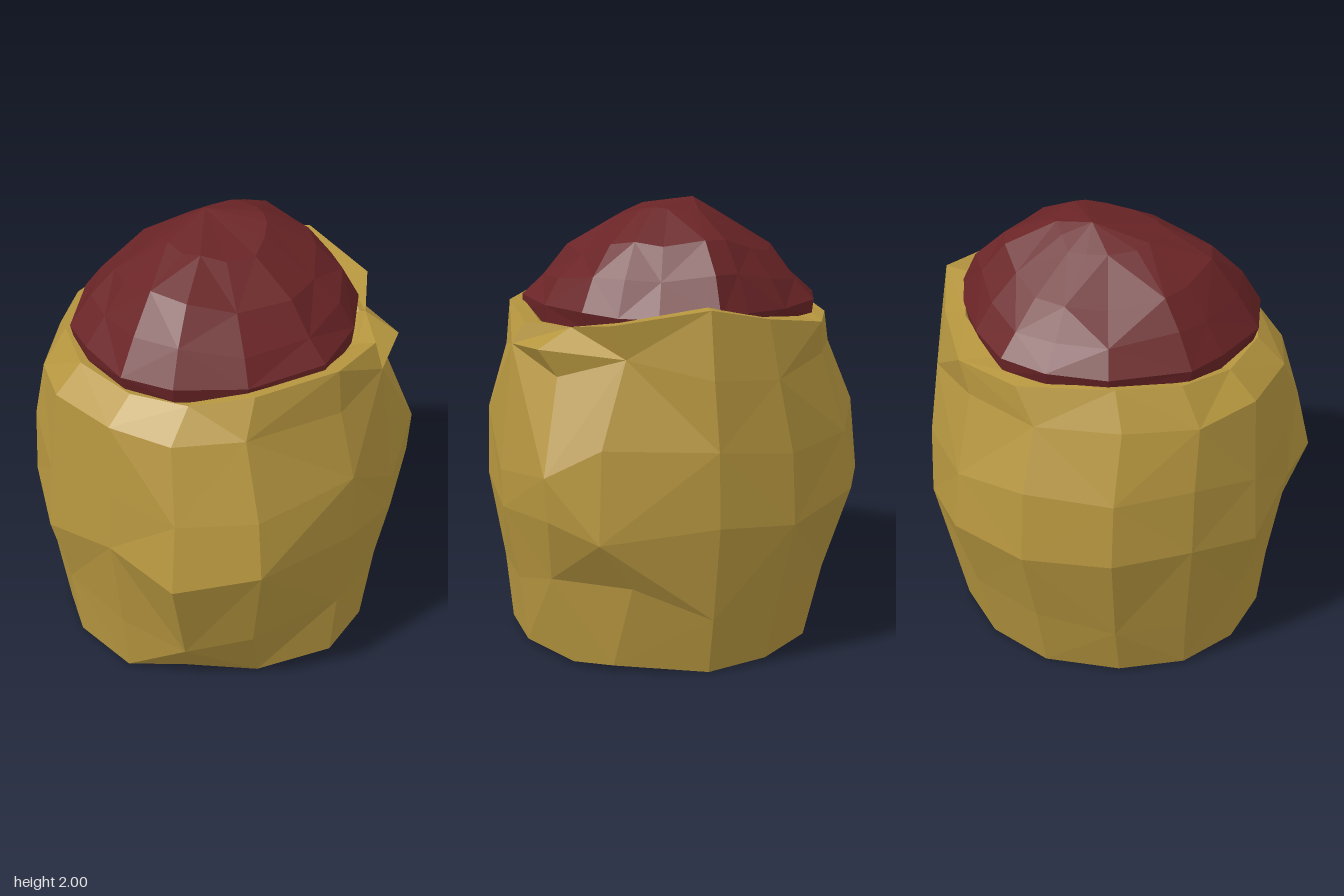
import * as THREE from 'three';

// Small seeded generator, for hand-made unevenness
function seeded(seed) {
  let s = seed;
  return () => {
    s = (s * 16807) % 2147483647;
    return s / 2147483647 - 0.5;
  };
}

// Joins rings of points (listed bottom to top, clockwise from above) into flat facets
function skin(rings, bottom, top) {
  const pos = [];
  const tri = (a, b, c) => pos.push(...a, ...b, ...c);
  const n = rings[0].length;
  for (let k = 0; k < rings.length - 1; k++) {
    const lo = rings[k], hi = rings[k + 1];
    for (let i = 0; i < n; i++) {
      const j = (i + 1) % n;
      if ((i + k) % 2) {
        tri(lo[j], lo[i], hi[i]);
        tri(lo[j], hi[i], hi[j]);
      } else {
        tri(lo[j], lo[i], hi[j]);
        tri(lo[i], hi[i], hi[j]);
      }
    }
  }
  const first = rings[0], last = rings[rings.length - 1];
  for (let i = 0; i < n; i++) {
    const j = (i + 1) % n;
    tri(first[i], first[j], bottom);
    tri(last[j], last[i], top);
  }
  return facets(pos);
}

function facets(pos) {
  const g = new THREE.BufferGeometry();
  g.setAttribute('position', new THREE.Float32BufferAttribute(pos, 3));
  g.computeVertexNormals();
  return g;
}

function addPart(group, name, geometry, material) {
  const mesh = new THREE.Mesh(geometry, material);
  mesh.name = name;
  group.add(mesh);
}

// Widest outline of the sack, from the back round by +x, as [x, z]
const SACK = [
  [0, -0.85], [0.37, -0.78], [0.65, -0.5], [0.8, -0.17], [0.83, 0.34], [0.73, 0.56], [0.38, 0.76],
  [0.03, 0.84], [-0.51, 0.82], [-0.8, 0.57], [-0.82, 0.2], [-0.83, -0.2], [-0.65, -0.5], [-0.39, -0.76],
];
const RIM_Y = [1.51, 1.52, 1.57, 1.64, 1.57, 1.5, 1.51, 1.54, 1.53, 1.48, 1.47, 1.48, 1.5, 1.52];

// One sack ring: the outline fitted to extents and rounded off by the amount "round"
function sackRing(minX, maxX, minZ, maxZ, round, heightAt) {
  return SACK.map(([x, z], i) => {
    let u = x / 0.83, v = z / 0.845;
    const len = Math.hypot(u, v), k = 1 + (1 / len - 1) * round;
    u *= k;
    v *= k;
    return [u * (u < 0 ? -minX : maxX), heightAt(i), v * (v < 0 ? -minZ : maxZ)];
  });
}

function sackGeometry() {
  const rnd = seeded(11);
  const rough = (y, amount) => () => y + rnd() * amount;
  const rings = [
    sackRing(-0.73, 0.7, -0.65, 0.75, 0.8, rough(0.02, 0.035)),
    sackRing(-0.76, 0.76, -0.73, 0.78, 0.6, rough(0.32, 0.12)),
    sackRing(-0.83, 0.83, -0.85, 0.85, 0.1, rough(0.72, 0.1)),
    sackRing(-0.82, 0.82, -0.82, 0.84, 0.5, rough(1.02, 0.08)),
    sackRing(-0.8, 0.8, -0.71, 0.75, 0.9, rough(1.34, 0.05)),
    // Rim, then the lip turning in behind the filling
    sackRing(-0.67, 0.76, -0.64, 0.73, 1, (i) => RIM_Y[i]),
    sackRing(-0.62, 0.65, -0.6, 0.66, 1, (i) => RIM_Y[i] - 0.01),
    sackRing(-0.54, 0.55, -0.54, 0.55, 1, () => 1.42),
  ];
  // Dented front corner on the +x side
  rings[1][4] = [0.74, 0.42, 0.2];
  rings[1][5] = [0.6, 0.42, 0.55];
  rings[2][4] = [0.83, 0.65, 0.34];
  rings[3][5] = [0.73, 0.92, 0.57];
  rings[3][6] = [0.37, 0.85, 0.77];
  rings[4][4] = [0.69, 1.42, 0.22];
  rings[4][5] = [0.57, 1.32, 0.51];
  rings[4][6] = [0.33, 1.41, 0.71];
  rings[5][5] = [0.5, 1.52, 0.45];
  // Tucked-in foot at the front corner on the -x side
  rings[0][8] = [-0.31, 0.01, 0.61];
  rings[0][9] = [-0.54, 0.02, 0.36];
  rings[1][9] = [-0.63, 0.22, 0.47];
  // Back rim pushed slightly outward
  rings[5][0] = [0.1, 1.49, -0.68];
  rings[5][1] = [0.4, 1.51, -0.63];
  return skin(rings, [0, 0.02, 0.05], [0, 1.42, 0]);
}

// Edge of the mound, from the back round by +x, as [x, z]
const MOUND = [
  [-0.02, -0.63], [0.2, -0.62], [0.4, -0.47], [0.56, -0.3], [0.65, -0.18], [0.63, 0.08], [0.58, 0.25], [0.5, 0.4],
  [0.3, 0.57], [0, 0.68], [-0.35, 0.57], [-0.58, 0.36], [-0.66, 0.13], [-0.62, -0.15], [-0.55, -0.33], [-0.27, -0.55],
];

function moundGeometry() {
  const rnd = seeded(5);
  // [scale, height, unevenness] from the hidden underside up to the crown
  const levels = [[0.9, 1.43, 0], [0.98, 1.49, 0.02], [1, 1.56, 0.02], [0.87, 1.69, 0.05],
    [0.68, 1.81, 0.05], [0.36, 1.94, 0.03]];
  const rings = levels.map(([s, y, rough]) => MOUND.map(([x, z]) => {
    const k = s + rnd() * rough;
    // Broader shoulders across x than along z, fading out at the crown and the edge
    const shoulder = 0.6 * (1 - s) * s * s * (x * x - z * z);
    return [x * k, y + rnd() * rough + x * 0.03 + shoulder, z * k];
  }));
  return skin(rings, [0, 1.43, 0], [0.03, 2, -0.09]);
}

// Fold of cloth hanging over the dented corner: ends a and b, root on the wall and rim, free point
function foldGeometry(a, b, wall, rim, free) {
  return facets([a, wall, free, wall, b, free, a, free, rim, free, b, rim].flat());
}

export function createModel() {
  const group = new THREE.Group();
  const cloth = new THREE.MeshStandardMaterial({ color: 0xb6963f, flatShading: true, side: THREE.DoubleSide });
  const filling = new THREE.MeshStandardMaterial({ color: 0x6a2426, flatShading: true });

  addPart(group, 'sack', sackGeometry(), cloth);
  addPart(group, 'filling', moundGeometry(), filling);
  const fold = foldGeometry([0.33, 1.41, 0.71], [0.69, 1.42, 0.22], [0.57, 1.32, 0.51], [0.5, 1.52, 0.45], [0.57, 1.44, 0.59]);
  addPart(group, 'rimFold', fold, cloth);
  return group;
}
